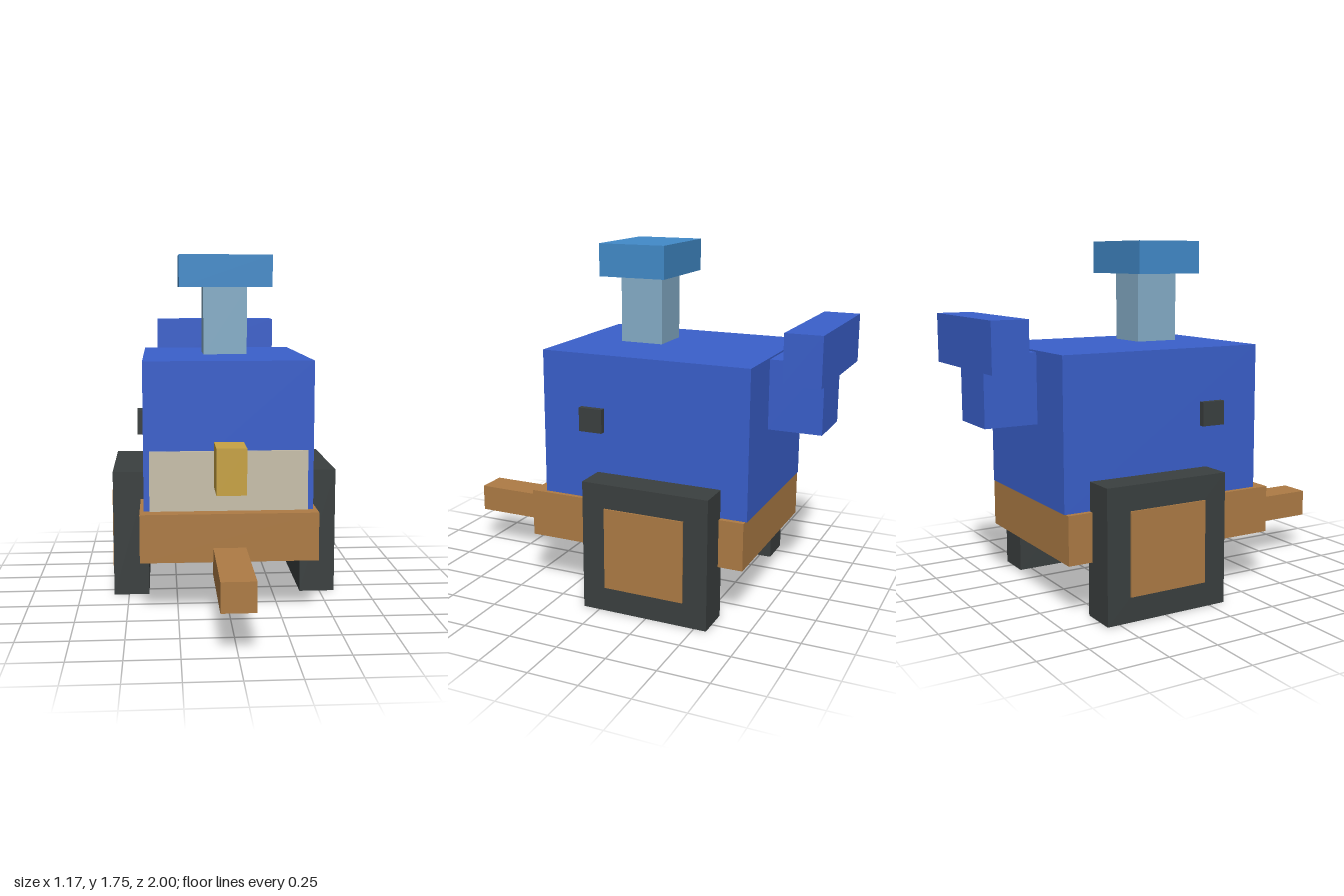
import * as THREE from 'three';

const mat = (name, color) => {
  const m = new THREE.MeshStandardMaterial({ color });
  m.name = name;
  return m;
};

export function createModel() {
  const blue = mat('blue', 0x3a60cc);
  const skyBlue = mat('skyBlue', 0x428bca);
  const paleBlue = mat('paleBlue', 0x86aec9);
  const wood = mat('wood', 0xae7c45);
  const charcoal = mat('charcoal', 0x3b4040);
  const cream = mat('cream', 0xc9c0ab);
  const gold = mat('gold', 0xc8a344);

  const model = new THREE.Group();
  model.name = 'wheeledCart';

  // Box given by its lower and upper limits on each axis
  const box = (name, material, [x0, x1], [y0, y1], [z0, z1]) => {
    const mesh = new THREE.Mesh(new THREE.BoxGeometry(x1 - x0, y1 - y0, z1 - z0), material);
    mesh.position.set((x0 + x1) / 2, (y0 + y1) / 2, (z0 + z1) / 2);
    mesh.name = name;
    model.add(mesh);
  };
  const centred = (name, material, halfWidth, y, z) =>
    box(name, material, [-halfWidth, halfWidth], y, z);
  const pair = (name, material, [x0, x1], y, z) => {
    box(name + 'Left', material, [x0, x1], y, z);
    box(name + 'Right', material, [-x1, -x0], y, z);
  };

  // Wooden base and tow bar
  centred('chassis', wood, 0.435, [0.27, 0.508], [-0.685, 0.45]);
  centred('towBar', wood, 0.08, [0.2, 0.34], [0.435, 1]);

  // Main body with front panel and spout
  centred('body', blue, 0.415, [0.51, 1.24], [-0.695, 0.38]);
  centred('frontPanel', cream, 0.387, [0.51, 0.805], [0.375, 0.39]);
  centred('spout', gold, 0.072, [0.624, 0.848], [0.38, 0.575]);

  // Chimney and its cap
  centred('chimney', paleBlue, 0.11, [1.253, 1.59], [-0.122, 0.098]);
  centred('chimneyCap', skyBlue, 0.233, [1.59, 1.75], [-0.187, 0.158]);

  // Rear handle
  centred('handleArm', blue, 0.142, [0.89, 1.232], [-0.96, -0.69]);
  centred('handleBar', blue, 0.343, [1.16, 1.4], [-1, -0.82]);

  // Wheels, hubs and side knobs
  pair('wheel', charcoal, [0.395, 0.577], [0, 0.65], [-0.562, 0.085]);
  pair('hub', wood, [0.572, 0.585], [0.123, 0.53], [-0.442, -0.033]);
  pair('sideKnob', charcoal, [0.41, 0.445], [0.857, 0.976], [0.047, 0.17]);

  return model;
}
